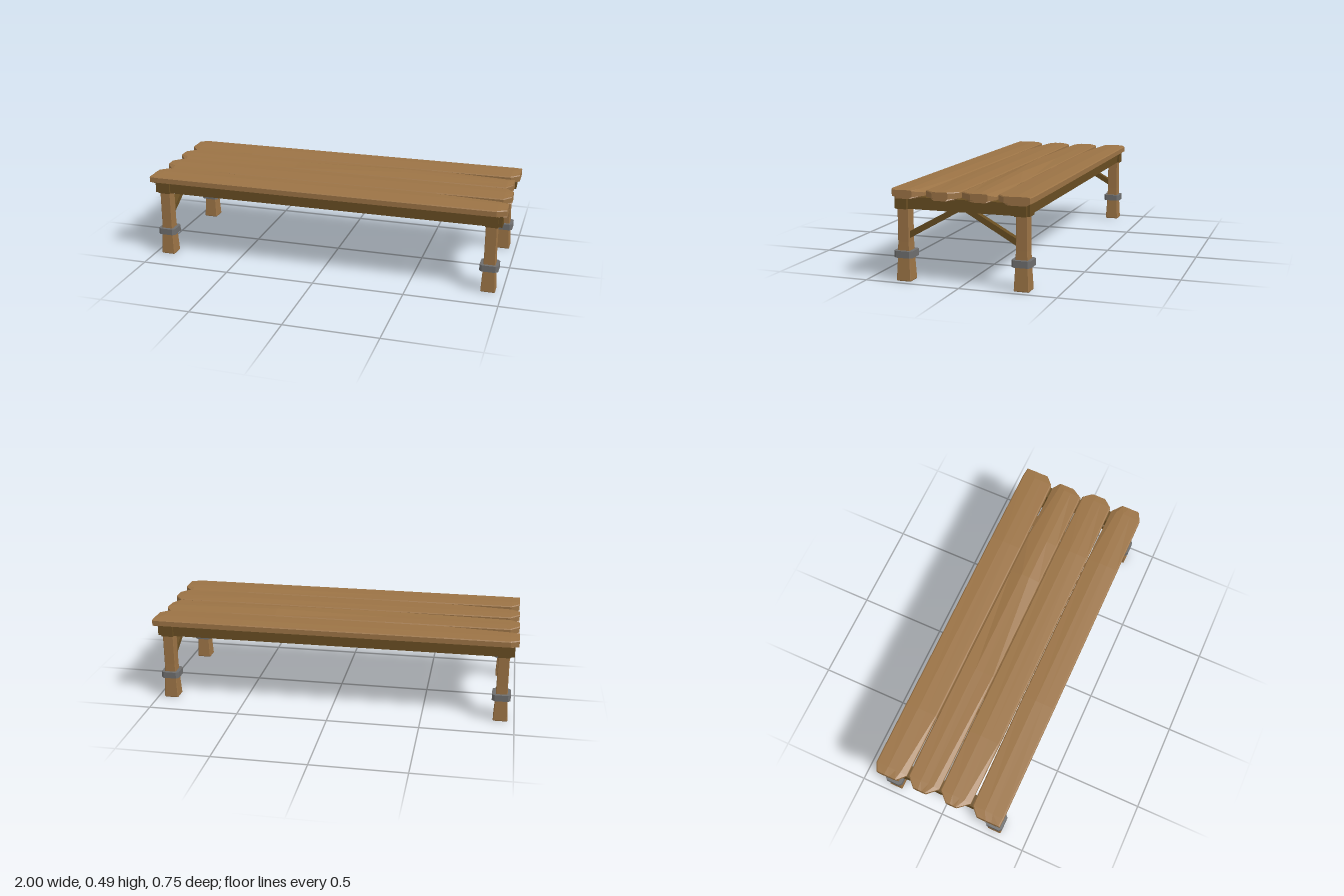
import * as THREE from 'three';

const material = (color) => new THREE.MeshStandardMaterial({ color, flatShading: true, roughness: 0.9 });

function add(parent, name, geometry, mat, x = 0, y = 0, z = 0) {
  const mesh = new THREE.Mesh(geometry, mat);
  mesh.name = name;
  mesh.position.set(x, y, z);
  parent.add(mesh);
  return mesh;
}

// Closed solid through rings of [x, y, z] points, all with the same count
function loft(rings) {
  const n = rings[0].length;
  const last = rings.length - 1;
  const index = [];
  for (let i = 0; i < last; i++) {
    for (let j = 0; j < n; j++) {
      const a = i * n + j, b = i * n + (j + 1) % n;
      index.push(a, b, a + n, b, b + n, a + n);
    }
  }
  for (let j = 1; j < n - 1; j++) {
    index.push(0, j + 1, j);
    index.push(last * n, last * n + j, last * n + j + 1);
  }
  const geometry = new THREE.BufferGeometry();
  geometry.setAttribute('position', new THREE.Float32BufferAttribute(rings.flat(2), 3));
  geometry.setIndex(index);
  geometry.computeVertexNormals();
  return geometry;
}

// Plank section: flat sides, low crown, upper edges chipped by the widths chip0 and chip1
function plankRing([x, z0, z1, crown, chip0 = 0.006, chip1 = 0.006]) {
  const w = z1 - z0;
  return [
    [x, 0.427, z0 + 0.15 * w],
    [x, 0.436, z0 + 0.02],
    [x, 0.438, z0],
    [x, 0.468 - chip0 * 0.4, z0],
    [x, 0.47, z0 + chip0],
    [x, crown, z0 + 0.4 * w],
    [x, crown - 0.002, z0 + 0.65 * w],
    [x, 0.47, z1 - chip1],
    [x, 0.468 - chip1 * 0.4, z1],
    [x, 0.438, z1],
    [x, 0.436, z1 - 0.02],
    [x, 0.427, z1 - 0.15 * w],
  ];
}

// Square with clipped corners, turning so that a loft along +y faces outward
function clippedSquare(half, cut) {
  const s = half - cut;
  return [[s, half], [half, s], [half, -s], [s, -half], [-s, -half], [-half, -s], [-half, s], [-s, half]];
}

const squareLoft = (levels, cut) =>
  loft(levels.map(([y, half]) => clippedSquare(half, cut).map(([x, z]) => [x, y, z])));

export function createModel() {
  const group = new THREE.Group();
  group.name = 'woodenTable';
  const wood = material(0x9b7345);
  const darkWood = material(0x684d22);
  const metal = material(0x6e6e6e);

  // Top planks, back to front; stations are x, zMin, zMax, crown height, chips
  const planks = [
    [[-1, -0.35, -0.235, 0.471], [-0.955, -0.372, -0.195, 0.473, 0.006, 0.035], [-0.6, -0.372, -0.19, 0.474],
      [0.5, -0.373, -0.189, 0.476], [0.955, -0.372, -0.193, 0.475], [1, -0.367, -0.235, 0.471]],
    [[-1, -0.135, -0.06, 0.471], [-0.95, -0.183, -0.006, 0.472, 0.006, 0.03], [-0.27, -0.185, -0.002, 0.473],
      [0.35, -0.185, -0.002, 0.486], [0.6, -0.185, -0.002, 0.481], [0.95, -0.18, -0.004, 0.475, 0.035, 0.006],
      [0.985, -0.15, -0.06, 0.471]],
    [[-1, 0.055, 0.12, 0.471], [-0.95, 0.004, 0.178, 0.473, 0.006, 0.035], [-0.6, 0.002, 0.184, 0.474],
      [0.6, 0.002, 0.185, 0.477], [0.96, 0.004, 0.182, 0.474], [1, 0.05, 0.135, 0.471]],
    [[-1, 0.235, 0.367, 0.471], [-0.955, 0.193, 0.37, 0.473], [-0.3, 0.189, 0.372, 0.475],
      [0.6, 0.189, 0.372, 0.477], [0.95, 0.195, 0.371, 0.474, 0.03, 0.006], [1, 0.24, 0.345, 0.471]],
  ];
  planks.forEach((stations, i) => add(group, `plank${i + 1}`, loft(stations.map(plankRing)), wood));

  // Rails under the top
  for (const side of [-1, 1]) {
    add(group, side > 0 ? 'frontRail' : 'backRail', new THREE.BoxGeometry(1.96, 0.06, 0.06), darkWood, 0, 0.401, side * 0.31);
    add(group, side > 0 ? 'leftEndRail' : 'rightEndRail', new THREE.BoxGeometry(0.066, 0.061, 0.706), darkWood, side * 0.925, 0.4005, 0);
  }

  // Leg with a flared foot, and the metal cuff around it
  const legGeometry = squareLoft([[0, 0.037], [0.004, 0.039], [0.14, 0.032], [0.2, 0.0305], [0.4, 0.03]], 0.003);
  const cuffGeometry = squareLoft([[0.121, 0.05], [0.156, 0.05]], 0.014);

  // Slanted brace from leg to the middle of the end rail
  const braceShape = new THREE.Shape([[0.285, 0.217], [0.285, 0.252], [0.05, 0.382], [0, 0.382], [0, 0.378]]
    .map(([z, y]) => new THREE.Vector2(z, y)));
  const braceGeometry = new THREE.ExtrudeGeometry(braceShape, { depth: 0.034, bevelEnabled: false });
  braceGeometry.translate(0, 0, -0.017);

  for (const sx of [-1, 1]) {
    for (const sz of [-1, 1]) {
      const name = (sz > 0 ? 'front' : 'back') + (sx > 0 ? 'Left' : 'Right');
      add(group, `${name}Leg`, legGeometry, wood, sx * 0.925, 0, sz * 0.31);
      add(group, `${name}Cuff`, cuffGeometry, metal, sx * 0.924, 0, sz * 0.309);
      const brace = add(group, `${name}Brace`, braceGeometry, darkWood, sx * 0.925, 0, 0);
      brace.rotation.y = -sz * Math.PI / 2;
    }
  }
  return group;
}
